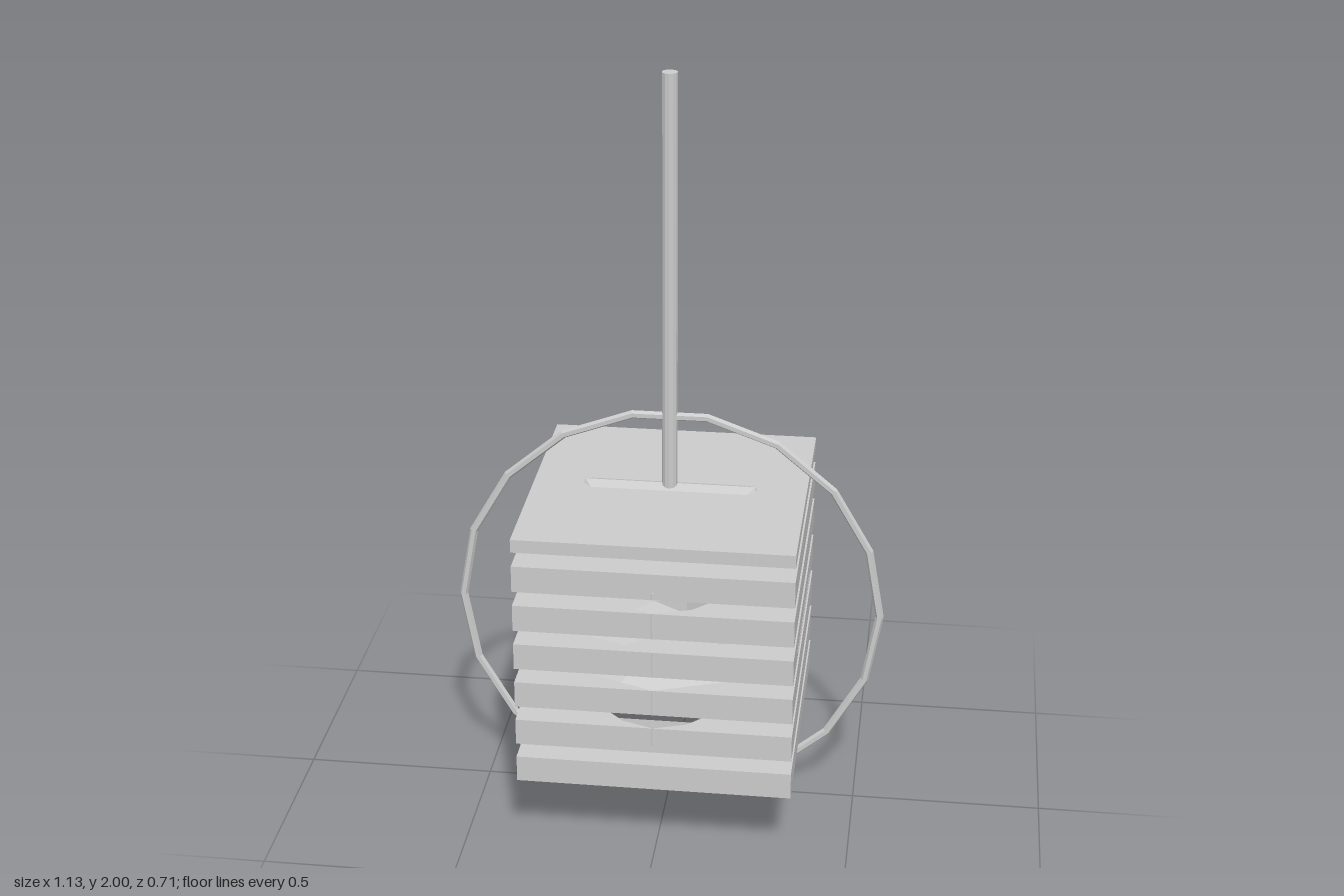
import * as THREE from 'three';
import { mergeGeometries } from 'three/addons/utils/BufferGeometryUtils.js';

const HALF = 0.354;      // half width of the slatted cube
const CENTER_Y = 0.557;  // centre of cube, cavity and hoop
const PITCH = 0.11, THICK = 0.071, BASE = 0.207, TOP = 0.902;

// Faces of the icosahedral cavity, as lists of corner points
function cavityFaces() {
  const p = new THREE.IcosahedronGeometry(0.418, 0).translate(0, CENTER_Y, 0).attributes.position;
  const faces = [];
  for (let i = 0; i < p.count; i += 3) {
    faces.push([0, 1, 2].map(k => new THREE.Vector3().fromBufferAttribute(p, i + k)));
  }
  return faces;
}

// Keep the part of a convex polygon above (sign 1) or below (sign -1) a level
function clip(poly, level, sign) {
  const out = [];
  poly.forEach((a, i) => {
    const b = poly[(i + 1) % poly.length];
    const da = (a.y - level) * sign, db = (b.y - level) * sign;
    if (da >= 0) out.push(a);
    if (da * db < 0) out.push(a.clone().lerp(b, da / (da - db)));
  });
  return out;
}

// Outline of the cavity at a level, kept just inside the slat's edge
function section(faces, level) {
  const points = new Map();
  const lim = v => THREE.MathUtils.clamp(v, -HALF + 0.001, HALF - 0.001);
  faces.flatMap(f => clip(f, level, 1))
    .filter(v => Math.abs(v.y - level) < 1e-6)
    .forEach(v => points.set(v.x.toFixed(4) + ',' + v.z.toFixed(4), new THREE.Vector2(lim(v.x), lim(-v.z))));
  return [...points.values()].sort((a, b) => a.angle() - b.angle());
}

// Square plate face with the cavity outline cut out
function plateFace(faces, level, up) {
  const shape = new THREE.Shape([[-1, -1], [1, -1], [1, 1], [-1, 1]]
    .map(([x, y]) => new THREE.Vector2(x * HALF, y * HALF)));
  shape.holes.push(new THREE.Path(section(faces, level)));
  const geo = new THREE.ShapeGeometry(shape).rotateX(-Math.PI / 2);
  if (!up) geo.scale(1, -1, 1).index.array.reverse();
  geo.computeVertexNormals();
  return geo.translate(0, level, 0).toNonIndexed();
}

// One slat: outer sides, top and bottom faces, and the slanted cavity wall
function slatGeometry(faces, lo, hi, wallTop) {
  const parts = [plateFace(faces, hi, true), plateFace(faces, lo, false)];
  for (let i = 0; i < 4; i++) {
    parts.push(new THREE.PlaneGeometry(2 * HALF, hi - lo)
      .translate(0, (lo + hi) / 2, HALF).rotateY(i * Math.PI / 2).toNonIndexed());
  }
  const wall = [];
  for (const face of faces) {
    const p = clip(clip(face, lo, 1), wallTop, -1);
    for (let i = 1; i < p.length - 1; i++) wall.push(p[0], p[i], p[i + 1]);
  }
  const wallGeo = new THREE.BufferGeometry().setFromPoints(wall);
  wallGeo.computeVertexNormals();
  parts.push(wallGeo);
  parts.forEach(g => g.deleteAttribute('uv'));
  return mergeGeometries(parts);
}

export function createModel() {
  const model = new THREE.Group();
  model.name = 'pendantLamp';
  const material = new THREE.MeshStandardMaterial({ color: 0xcccccc, flatShading: true, side: THREE.DoubleSide });
  const add = (name, geometry, parent = model) => {
    const mesh = new THREE.Mesh(geometry, material);
    mesh.name = name;
    parent.add(mesh);
    return mesh;
  };

  // Slatted cube shade around a faceted hollow
  const shade = new THREE.Group();
  shade.name = 'shade';
  model.add(shade);
  const faces = cavityFaces();
  for (let i = 0; i < 7; i++) {
    const lo = BASE + i * PITCH;
    const last = i === 6;
    // the top slat keeps the ridge that closes the hollow
    const hi = last ? TOP : lo + THICK;
    add('slat' + (i + 1), slatGeometry(faces, lo, hi, last ? 2 : hi), shade);
  }

  // Hanging rod
  add('rod', new THREE.CylinderGeometry(0.02, 0.02, 1.19, 12)).position.y = 1.405;

  // Upright hoop around the shade
  add('hoop', new THREE.TorusGeometry(0.553, 0.011, 6, 18)).position.y = 0.556;

  return model;
}
